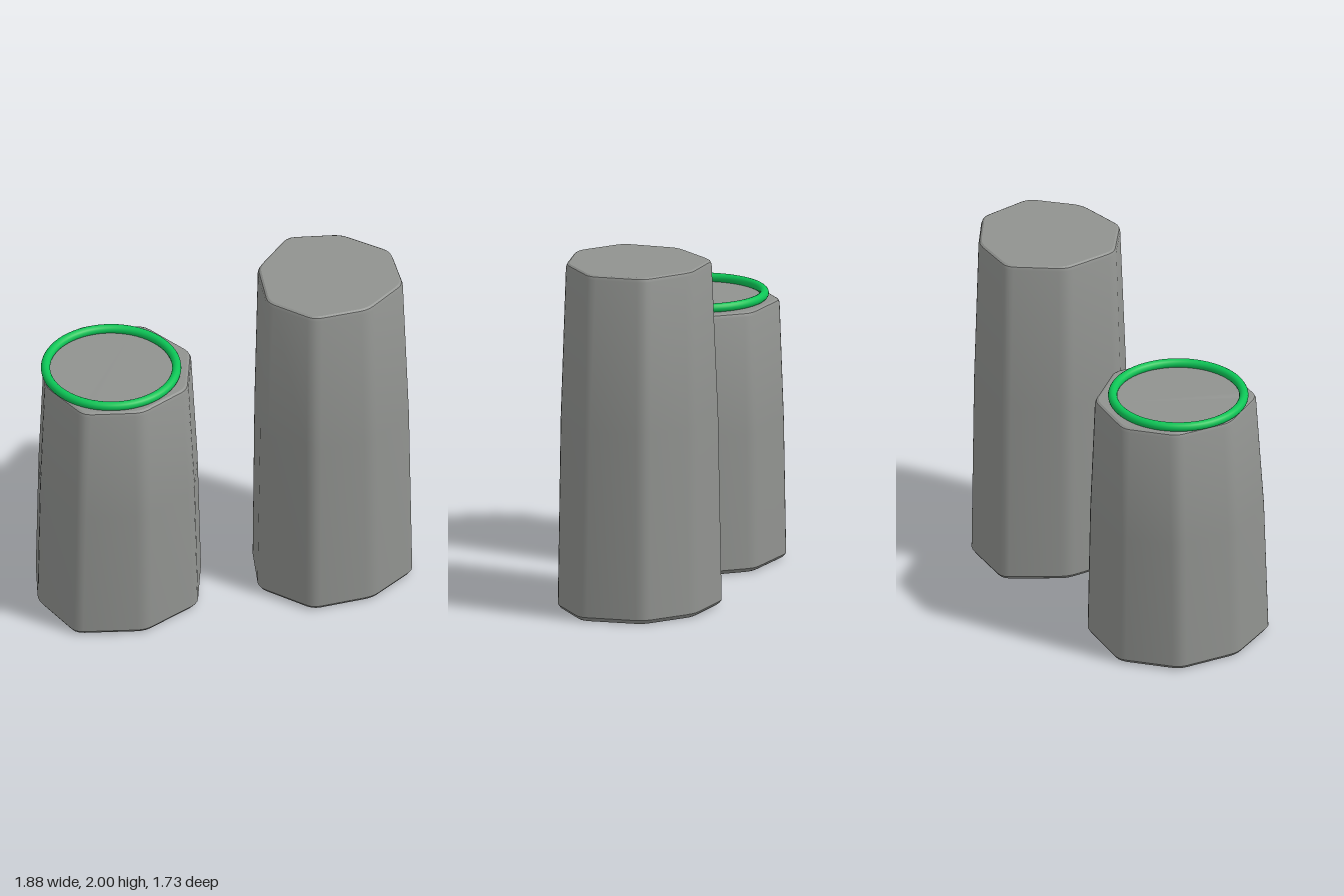
import * as THREE from 'three';
import { toCreasedNormals } from 'three/addons/utils/BufferGeometryUtils.js';

const stone = new THREE.MeshStandardMaterial({ color: 0x90928f });
stone.name = 'stone grey';
const green = new THREE.MeshStandardMaterial({ color: 0x0cc556 });
green.name = 'ring green';

// Replace each polygon corner by a short curve of four points
function roundCorners(points, cut = 0.045) {
  const out = [];
  const n = points.length;
  const v = points.map(([x, z]) => new THREE.Vector2(x, z));
  v.forEach((p, i) => {
    const toward = (q) => q.clone().sub(p).setLength(cut).add(p);
    const curve = new THREE.QuadraticBezierCurve(
      toward(v[(i + n - 1) % n]), p, toward(v[(i + 1) % n]));
    out.push(...curve.getPoints(3));
  });
  return out;
}

// Scale a polygon about its centre so that it grows by roughly d
function grow(points, d) {
  const n = points.length;
  const cx = points.reduce((s, p) => s + p[0], 0) / n;
  const cz = points.reduce((s, p) => s + p[1], 0) / n;
  const s = 1 + d / 0.47;
  return points.map(([x, z]) => [cx + (x - cx) * s, cz + (z - cz) * s]);
}

// Loft from the foot polygon through a belly ring to the top polygon
function pillarGeometry(foot, top, height, bellyY, bellyMix) {
  const belly = foot.map((p, i) => p.map((c, k) => c + (top[i][k] - c) * bellyMix));
  const r = 0.025;
  const rings = [
    [0, foot, -0.02], [r * 0.3, foot, -0.007], [r, foot, 0.006],
    [bellyY, belly, 0.006],
    [height - r, top, 0.006], [height - r * 0.3, top, -0.002], [height, top, -0.016],
  ].map(([y, poly, d]) => roundCorners(grow(poly, d)).map((p) => [p.x, y, p.y]));

  const n = rings[0].length;
  const positions = rings.flat(2);
  const index = [];
  for (let k = 0; k < rings.length - 1; k++) {
    for (let i = 0; i < n; i++) {
      const a = k * n + i;
      const b = k * n + (i + 1) % n;
      index.push(b, a, b + n, a, a + n, b + n);
    }
  }
  // Flat caps
  const last = (rings.length - 1) * n;
  for (let i = 1; i < n - 1; i++) {
    index.push(0, i, i + 1, last, last + i + 1, last + i);
  }
  const geometry = new THREE.BufferGeometry();
  geometry.setAttribute('position', new THREE.Float32BufferAttribute(positions, 3));
  geometry.setIndex(index);
  return toCreasedNormals(geometry, 0.5);
}

export function createModel() {
  const group = new THREE.Group();
  group.name = 'stonePillars';
  const add = (name, geometry, material) => {
    const mesh = new THREE.Mesh(geometry, material);
    mesh.name = name;
    group.add(mesh);
    return mesh;
  };

  // Short front pillar, corners as [x, z]
  add('shortPillar', pillarGeometry(
    [[-0.52, -0.16], [-0.14, -0.07], [0.04, 0.29], [-0.09, 0.65],
      [-0.42, 0.86], [-0.75, 0.70], [-0.94, 0.39], [-0.87, 0.04]],
    [[-0.53, -0.12], [-0.18, -0.03], [-0.02, 0.29], [-0.13, 0.61],
      [-0.41, 0.79], [-0.73, 0.66], [-0.90, 0.37], [-0.84, 0.06]],
    1.5, 0.8, 0.35), stone);

  // Tall back pillar
  add('tallPillar', pillarGeometry(
    [[0.35, -0.87], [0.69, -0.86], [0.94, -0.59], [0.87, -0.26],
      [0.63, 0.0], [0.27, -0.02], [0.065, -0.31], [0.035, -0.68]],
    [[0.34, -0.83], [0.66, -0.83], [0.88, -0.59], [0.83, -0.28],
      [0.61, -0.05], [0.30, -0.06], [0.09, -0.32], [0.09, -0.66]],
    2, 1.1, 0.35), stone);

  // Ring lying on the short pillar
  const ring = add('topRing', new THREE.TorusGeometry(0.37, 0.026, 16, 64), green);
  ring.rotation.x = -Math.PI / 2;
  ring.position.set(-0.48, 1.522, 0.35);
  return group;
}
